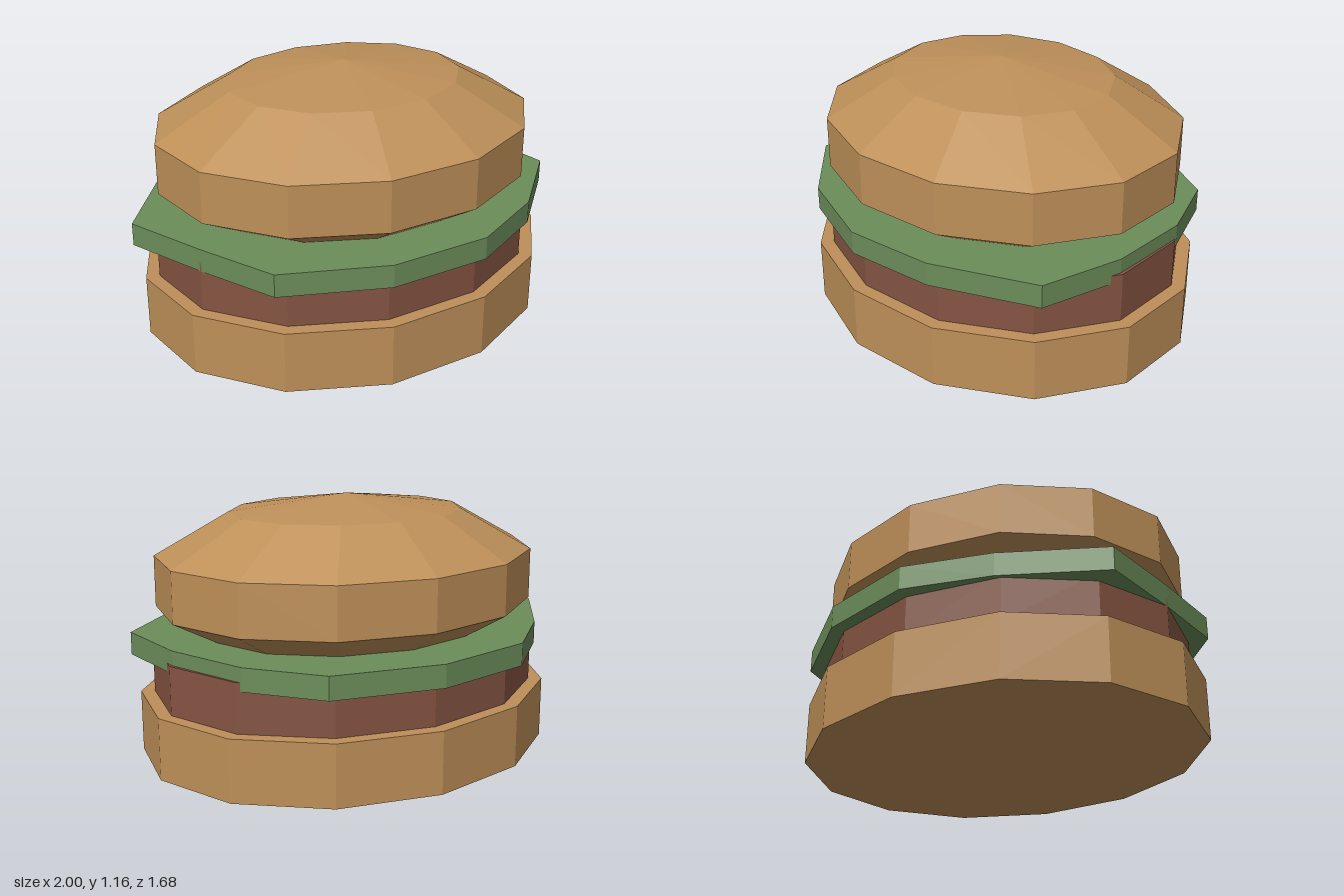
import * as THREE from 'three';

const SIDES = 13;
const paint = (name, color) => {
  const m = new THREE.MeshStandardMaterial({ color });
  m.name = name;
  return m;
};

// Faceted mesh: every face gets its own normals
function part(name, geometry, material) {
  const flat = geometry.index ? geometry.toNonIndexed() : geometry;
  flat.computeVertexNormals();
  const mesh = new THREE.Mesh(flat, material);
  mesh.name = name;
  return mesh;
}

// Oval 13-sided slab with a corner pointing to +x
function slab(rx, rz, y0, y1) {
  return new THREE.CylinderGeometry(1, 1, y1 - y0, SIDES, 1, false, Math.PI / 2)
    .scale(rx, 1, rz)
    .translate(0.009, (y0 + y1) / 2, 0);
}

export function createModel() {
  const group = new THREE.Group();
  group.name = 'burger';
  const bread = paint('bread', 0xbe9059);
  const meat = paint('meat', 0x855442);
  const leaf = paint('leaf', 0x6c8d5a);

  group.add(part('bottomBun', slab(0.99, 0.845, 0, 0.28), bread));
  group.add(part('patty', slab(0.928, 0.782, 0.27, 0.5), meat));

  // Lettuce: uneven leaf outline, [x, z]
  const outline = [
    [0.922, 0], [0.815, -0.385], [0.6, -0.69], [0.12, -0.837], [-0.36, -0.79],
    [-0.68, -0.55], [-1, -0.2], [-0.89, 0.19], [-0.77, 0.555], [-0.34, 0.783],
    [0.13, 0.832], [0.53, 0.69], [0.925, 0.39],
  ];
  const shape = new THREE.Shape(outline.map(([x, z]) => new THREE.Vector2(x, -z)));
  const lettuce = new THREE.ExtrudeGeometry(shape, { depth: 0.103, bevelEnabled: false })
    .rotateX(-Math.PI / 2)
    .translate(0, 0.462, 0);
  group.add(part('lettuce', lettuce, leaf));

  // Top bun: coarse squashed ball sunk into the lettuce
  const dome = new THREE.SphereGeometry(1, SIDES, 5)
    .rotateY(Math.PI)
    .scale(0.952, 0.372, 0.816)
    .translate(0.008, 0.792, 0);
  group.add(part('topBun', dome, bread));

  return group;
}
